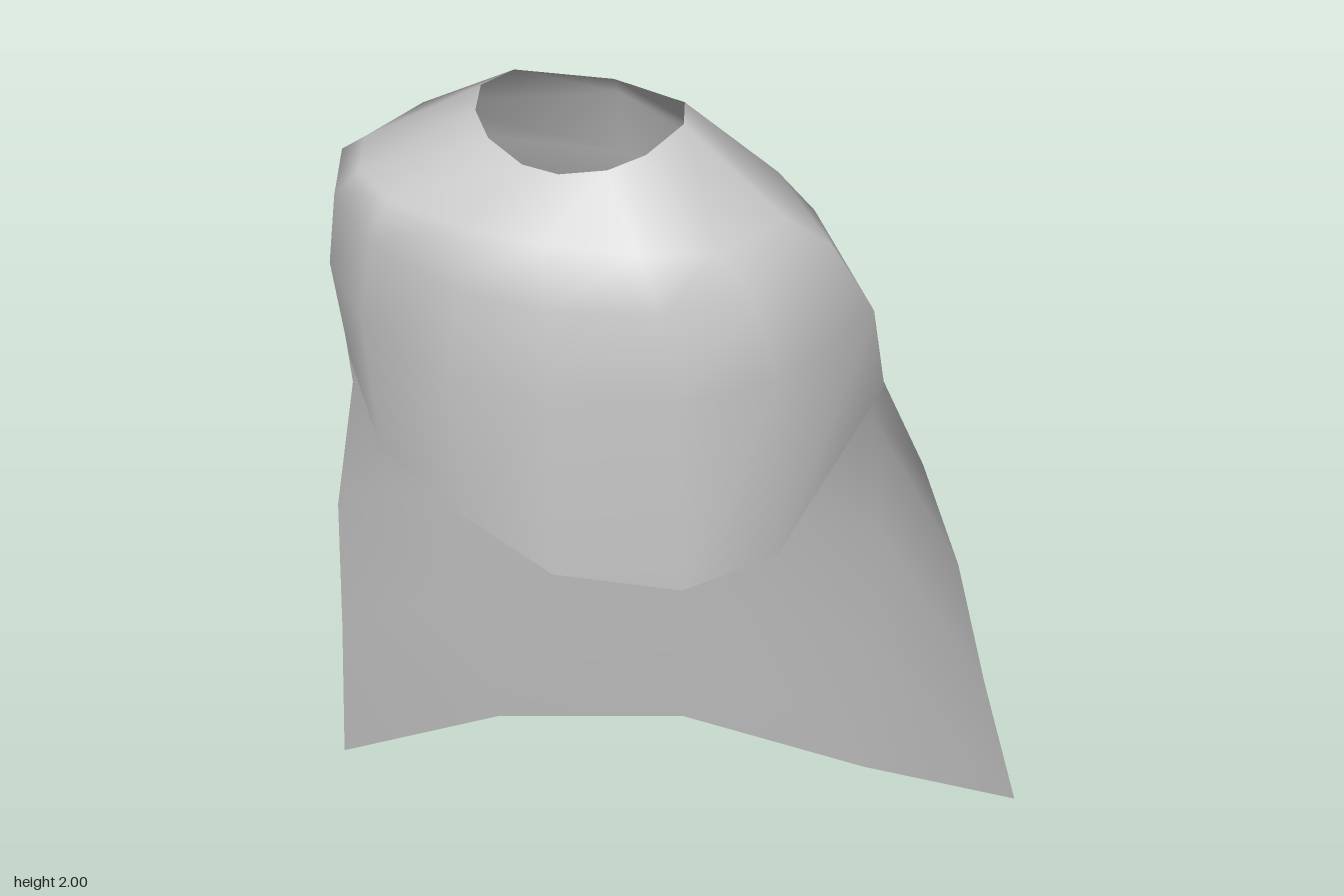
import * as THREE from 'three';

const material = new THREE.MeshStandardMaterial({ color: 0xcccccc, side: THREE.DoubleSide });

// Fold directions in degrees, from the back round by -x, front and +x
const foldAngles = [0, 58, 90, 115, 138, 165, 186, 212, 235, 270, 302];

// Mantle rings, neck downwards: each is an oval with its own front and back depth
const rings = [
  { y: 1.96, sideLift: 0.04, cx: 0.025, cz: 0.2, rx: 0.185, front: 0.165, back: 0.16 },
  { y: 1.89, sideLift: -0.04, cx: 0.01, cz: 0.2, rx: 0.39, front: 0.28, back: 0.23 },
  { y: 1.77, sideLift: 0.03, cx: 0.02, cz: 0.18, rx: 0.455, front: 0.32, back: 0.21 },
  { y: 1.6, sideLift: 0.03, cx: 0.03, cz: 0.1, rx: 0.5, front: 0.425, back: 0.21 },
];

function ringPoint(ring, degrees) {
  const a = THREE.MathUtils.degToRad(degrees);
  const s = Math.sin(a), c = Math.cos(a);
  return [
    ring.cx - ring.rx * s,
    ring.y + ring.sideLift * s * s,
    ring.cz - (c > 0 ? ring.back : ring.front) * c,
  ];
}

// Uneven mantle hem, one point per fold
const hem = [
  [0, 1.42, -0.19], [-0.43, 1.42, -0.11], [-0.52, 1.45, 0.05], [-0.41, 1.4, 0.24],
  [-0.28, 1.34, 0.41], [-0.1, 1.28, 0.47], [0.08, 1.22, 0.5], [0.3, 1.2, 0.44],
  [0.44, 1.24, 0.34], [0.54, 1.44, 0.05], [0.45, 1.42, -0.11],
];

// Cape folds falling from the mantle hem, +x edge to -x edge
const capeFolds = [
  [hem[9], [0.55, 1.1, -0.2], [0.6, 0.8, -0.31], [0.64, 0.45, -0.41], [0.69, 0.07, -0.525]],
  [hem[10], [0.43, 1.13, -0.27], [0.43, 0.77, -0.38], [0.4, 0.45, -0.44], [0.37, 0.07, -0.515]],
  [hem[0], [0, 1.13, -0.31], [0, 0.77, -0.4], [-0.01, 0.45, -0.46], [-0.03, 0.08, -0.53]],
  [hem[1], [-0.42, 1.13, -0.23], [-0.43, 0.75, -0.29], [-0.43, 0.45, -0.33], [-0.4, 0.06, -0.42]],
  [hem[2], [-0.55, 1.1, -0.08], [-0.62, 0.75, -0.14], [-0.65, 0.4, -0.2], [-0.69, 0, -0.27]],
];

// Skin neighbouring folds into one smooth sheet
function makeSheet(name, folds, closed) {
  const rows = folds[0].length;
  const index = [];
  const strips = closed ? folds.length : folds.length - 1;
  for (let i = 0; i < strips; i++) {
    const a = i * rows, b = ((i + 1) % folds.length) * rows;
    for (let j = 0; j < rows - 1; j++) {
      index.push(a + j, a + j + 1, b + j, b + j, a + j + 1, b + j + 1);
    }
  }
  const geometry = new THREE.BufferGeometry();
  geometry.setAttribute('position', new THREE.Float32BufferAttribute(folds.flat(2), 3));
  geometry.setIndex(index);
  geometry.computeVertexNormals();
  const mesh = new THREE.Mesh(geometry, material);
  mesh.name = name;
  return mesh;
}

// Share normals where the sheets meet so the join looks seamless
function blendSeam(meshes) {
  const sums = new Map();
  const visit = (action) => meshes.forEach(({ geometry: { attributes: { position, normal } } }) => {
    for (let i = 0; i < position.count; i++) {
      const key = [position.getX(i), position.getY(i), position.getZ(i)].join();
      action(key, normal, i);
    }
  });
  visit((key, normal, i) => {
    if (!sums.has(key)) sums.set(key, new THREE.Vector3());
    sums.get(key).add(new THREE.Vector3().fromBufferAttribute(normal, i));
  });
  visit((key, normal, i) => {
    const n = sums.get(key).clone().normalize();
    normal.setXYZ(i, n.x, n.y, n.z);
  });
}

export function createModel() {
  const group = new THREE.Group();
  group.name = 'cloak';
  const mantleFolds = foldAngles.map((angle, i) => [...rings.map((ring) => ringPoint(ring, angle)), hem[i]]);
  const mantle = makeSheet('shoulderMantle', mantleFolds, true);
  const cape = makeSheet('backCape', capeFolds, false);
  blendSeam([mantle, cape]);
  group.add(mantle, cape);
  return group;
}
